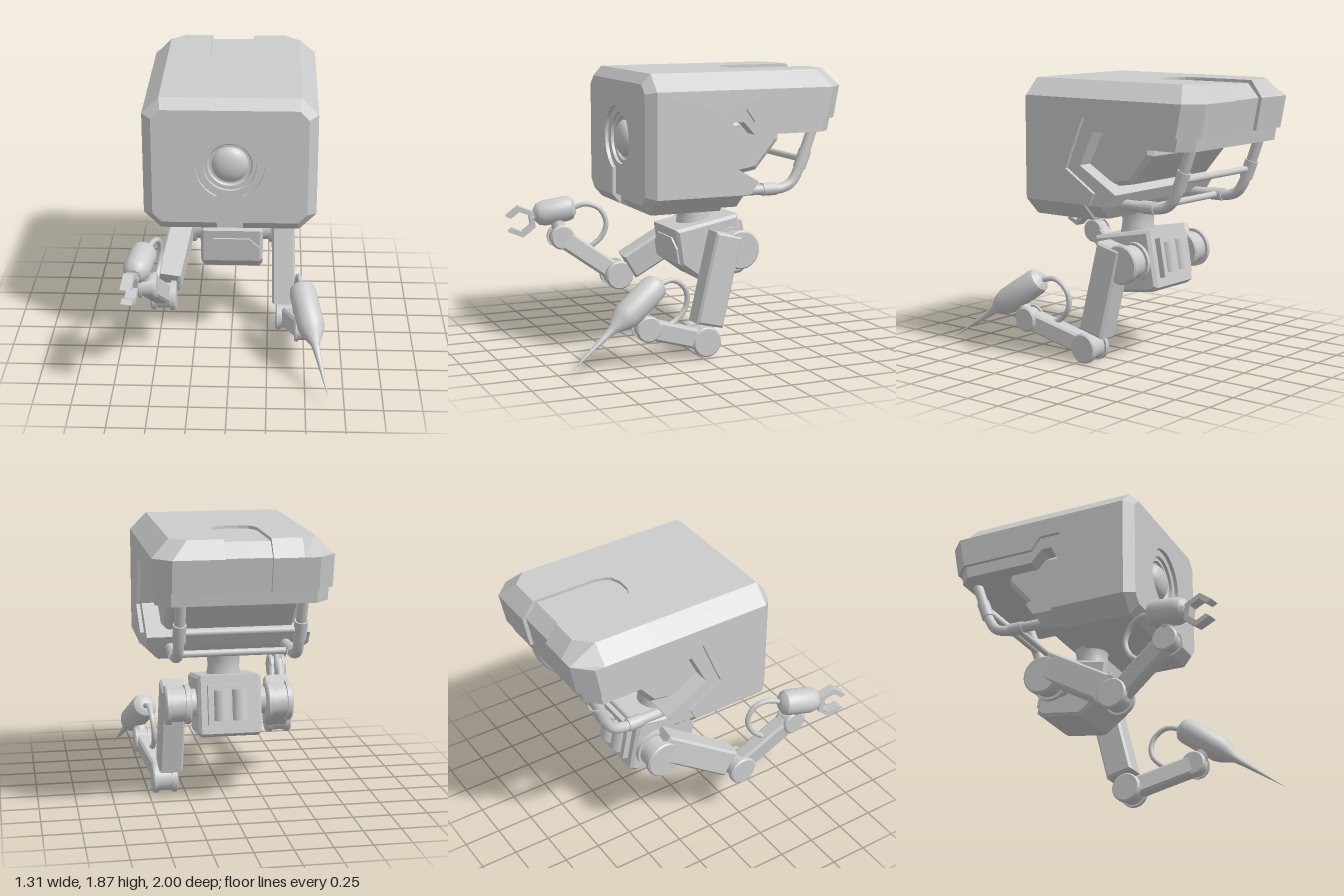
import * as THREE from 'three';
import { toCreasedNormals } from 'three/addons/utils/BufferGeometryUtils.js';

const V = (x, y, z) => new THREE.Vector3(x, y, z);
const UP = V(0, 1, 0);

export function createModel() {
  const root = new THREE.Group();
  const mat = new THREE.MeshStandardMaterial({ color: 0xcccccc });
  const flat = new THREE.MeshStandardMaterial({ color: 0xcccccc, flatShading: true });

  const add = (name, geo, pos = V(0, 0, 0), m = mat, parent = root) => {
    const mesh = new THREE.Mesh(geo, m);
    mesh.name = name;
    mesh.position.copy(pos);
    parent.add(mesh);
    return mesh;
  };
  const shapeOf = pts => new THREE.Shape(pts.map(p => new THREE.Vector2(...p)));

  // A [z, y] profile extruded along x, centred, with a small chamfer
  const sideExtrude = (pts, width, b) => {
    const depth = width - 2 * b;
    return new THREE.ExtrudeGeometry(shapeOf(pts), {
      depth, bevelEnabled: b > 0, bevelThickness: b, bevelSize: b, bevelOffset: -b, bevelSegments: 1,
    }).translate(0, 0, -depth / 2).rotateY(-Math.PI / 2);
  };
  const lathe = pts => toCreasedNormals(
    new THREE.LatheGeometry(pts.map(p => new THREE.Vector2(...p)), 32), 0.6);
  const rod = (name, a, b, r) => {
    const m = add(name, new THREE.CylinderGeometry(r, r, a.distanceTo(b), 16), a.clone().lerp(b, 0.5));
    m.quaternion.setFromUnitVectors(UP, b.clone().sub(a).normalize());
  };
  const tube = (name, pts, r) =>
    add(name, new THREE.TubeGeometry(new THREE.CatmullRomCurve3(pts), 32, r, 12));

  // Head shell: [z, y] profile swept across x, its corners clamped to an octagon.
  // Points 1-5 of the profile carry the slot in the top and back.
  const shell = (profile, xs, low, slotted) => {
    const rings = xs.map(([x, inSlot]) => {
      const ax = Math.abs(x), e = Math.max(0, ax - 0.45);
      const u = Math.min(1, Math.max(0, (Math.abs(x + 0.015) - 0.045) / 0.1));
      return profile.map(([z, y], k) => {
        if (slotted && (k === 1 || k === 2)) z = -0.36 - 0.12 * (1 - Math.sqrt(1 - u * u));
        if (k === 3) z += Math.min(0.1, Math.max(0, ax - 0.35));
        if (k === 4 || k === 5) z += e;
        y = Math.min(1.87 - e, Math.max(low + e, y));
        if (inSlot && k >= 2 && k <= 3) y -= 0.02;
        if (inSlot && k >= 3 && k <= 5) z += 0.025;
        return V(x, y, z);
      });
    });
    const tri = [], n = profile.length;
    for (let i = 0; i < rings.length - 1; i++) {
      for (let j = 0; j < n; j++) {
        const a = rings[i], b = rings[i + 1], k = (j + 1) % n;
        tri.push(a[j], b[j], b[k], a[j], b[k], a[k]);
      }
    }
    [rings[0], rings[rings.length - 1]].forEach((r, end) => {
      const faces = THREE.ShapeUtils.triangulateShape(r.map(p => new THREE.Vector2(p.z, p.y)), []);
      for (const [a, b, c] of faces) tri.push(r[a], r[end ? c : b], r[end ? b : c]);
    });
    const g = new THREE.BufferGeometry().setFromPoints(tri);
    g.computeVertexNormals();
    return g;
  };

  add('headShell', shell(
    [[0.35, 1.87], [-0.36, 1.87], [-0.36, 1.87], [-0.92, 1.87], [-1, 1.76], [-0.96, 1.55], [-0.33, 1.55],
      [-0.27, 1.635], [-0.12, 1.635], [0.02, 1.305], [-0.21, 1.16], [-0.17, 1.08], [-0.13, 0.97], [0.35, 0.97]],
    [[-0.56], [-0.45], [-0.35], [-0.16], [-0.16, 1], [-0.145, 1], [-0.12, 1], [-0.06, 1], [0.03, 1],
      [0.09, 1], [0.115, 1], [0.13, 1], [0.13], [0.35], [0.45], [0.56]], 0.97, true), undefined, flat);
  add('innerShell', shell(
    [[0.3, 1.7], [0, 1.7], [0, 1.7], [-0.9, 1.7], [-0.94, 1.6], [-0.915, 1.465], [-0.34, 1.465],
      [-0.26, 1.55], [-0.19, 1.55], [-0.08, 1.33], [-0.37, 1.16], [-0.32, 1.08], [-0.25, 0.99], [0.3, 0.99]],
    [[-0.535], [-0.45], [-0.35], [0.35], [0.45], [0.535]], 0.99, false), undefined, flat);
  add('headCore', sideExtrude(
    [[0.1, 1.55], [-0.57, 1.55], [-0.57, 1.41], [-0.41, 1.22], [-0.29, 1.2], [0.1, 1.2]], 0.86, 0.03), undefined, flat);

  // Front plate with a keyhole cut; its back edge flares out to meet the shell
  const face = shapeOf([[0.085, -0.385], [0.44, -0.385], [0.5, -0.325], [0.5, 0.325], [0.44, 0.385],
    [-0.44, 0.385], [-0.5, 0.325], [-0.5, -0.325], [-0.44, -0.385], [-0.085, -0.385], [-0.085, -0.203]]);
  face.absarc(0, 0, 0.22, -1.967, -1.174, true);
  const plate = new THREE.ExtrudeGeometry(face, { depth: 0.06, bevelEnabled: false, curveSegments: 40 });
  const pp = plate.attributes.position;
  for (let i = 0; i < pp.count; i++) {
    const x = pp.getX(i), y = pp.getY(i);
    if (pp.getZ(i) > 0.03) continue;
    if (Math.abs(x) > 0.47) pp.setXY(i, Math.sign(x) * 0.56, Math.sign(y) * 0.34);
    else if (Math.abs(y) > 0.38) pp.setXY(i, Math.abs(x) > 0.4 ? Math.sign(x) * 0.45 : x, Math.sign(y) * 0.45);
  }
  plate.computeVertexNormals();
  add('facePlate', plate, V(0, 1.42, 0.35), flat);

  // Stepped eye socket, lens and the channel below it
  add('eyeSocket', lathe([[0, 0], [0.135, 0], [0.145, 0.015], [0.17, 0.015], [0.172, 0.035], [0.22, 0.035]])
    .rotateX(Math.PI / 2), V(0, 1.42, 0.351)).material = new THREE.MeshStandardMaterial({ color: 0xcccccc, side: THREE.DoubleSide });
  add('eyeLens', new THREE.SphereGeometry(0.12, 32, 20).scale(1, 1, 0.52), V(0, 1.42, 0.347));
  add('eyeChannel', new THREE.BoxGeometry(0.17, 0.2, 0.05), V(0, 1.14, 0.36), flat);

  // Rear handle frame
  for (const s of [-1, 1]) {
    const x = 0.38 * s;
    tube('handleTube', [V(x, 1.08, -0.3), V(x, 1.08, -0.45), V(x, 1.08, -0.6), V(x, 1.11, -0.68),
      V(x, 1.18, -0.73), V(x, 1.32, -0.785), V(x, 1.5, -0.85)], 0.035);
    rod('handleSleeve', V(x, 1.08, -0.47), V(x, 1.08, -0.57), 0.043);
    rod('handleSleeve', V(x, 1.21, -0.745), V(x, 1.33, -0.79), 0.043);
  }
  rod('handleBar', V(-0.38, 1.08, -0.52), V(0.38, 1.08, -0.52), 0.022);
  rod('handleBar', V(-0.38, 1.27, -0.765), V(0.38, 1.27, -0.765), 0.022);

  // Neck and torso
  add('neck', lathe([[0.118, 0.82], [0.105, 0.9], [0.11, 0.97], [0.14, 1.06]]), V(0, 0, -0.14));
  add('torso', sideExtrude([[0.07, 0.81], [-0.38, 0.895], [-0.45, 0.52], [-0.41, 0.49], [-0.13, 0.45], [0.035, 0.57]],
    0.42, 0.02), undefined, flat);
  add('chestPanel', new THREE.ExtrudeGeometry(
    shapeOf([[-0.19, 0], [0.19, 0], [0.19, 0.1], [0.12, 0.17], [-0.12, 0.17], [-0.19, 0.1]]),
    { depth: 0.02, bevelEnabled: false }), V(0, 0.585, 0.03), flat).rotation.x = 0.14;
  const pack = new THREE.Group();
  pack.name = 'backPack';
  pack.position.set(0, 0.71, -0.43);
  pack.rotation.x = 0.18;
  root.add(pack);
  add('packFrame', new THREE.BoxGeometry(0.3, 0.26, 0.05), V(0, 0, 0), flat, pack);
  for (const s of [-1, 1]) add('packCell', new THREE.CylinderGeometry(0.055, 0.055, 0.2, 20), V(0.06 * s, 0, -0.01), mat, pack);

  // Arm pieces
  const joint = (name, c, r, w) => {
    const h = w / 2, q = w * 0.28;
    const g = lathe([[0, -h], [r - 0.01, -h], [r, -h + 0.01], [r, -q], [r * 0.86, -q], [r * 0.86, q],
      [r, q], [r, h - 0.01], [r - 0.01, h], [0, h]]).rotateZ(Math.PI / 2);
    return add(name, g, c);
  };
  const beam = (name, a, b, w, d) => {
    const y = b.clone().sub(a), len = y.length();
    y.normalize();
    const z = V(1, 0, 0).cross(y).normalize(), x = y.clone().cross(z);
    const g = sideExtrude([[-d / 2, -len / 2], [d / 2, -len / 2], [d / 2, len / 2], [-d / 2, len / 2]].reverse(), w, 0.015);
    const m = add(name, g, a.clone().lerp(b, 0.5), flat);
    m.quaternion.setFromRotationMatrix(new THREE.Matrix4().makeBasis(x, y, z));
  };
  const arm = (s, top, low, elbow, wrist) => {
    rod('shoulderAxle', V(0.18 * s, 0.69, -0.26), V(0.32 * s, 0.69, -0.28), 0.09);
    joint('shoulder', V(0.335 * s, 0.69, -0.31), 0.13, 0.17);
    beam('upperArm', top, low, 0.16, 0.19);
    joint('elbow', elbow, 0.1, 0.17);
    beam('forearm', elbow, wrist, 0.11, 0.13);
    joint('wrist', wrist, 0.085, 0.12);
  };
  const tool = (name, a, b, pts) =>
    add(name, lathe(pts), a).quaternion.setFromUnitVectors(UP, b.clone().sub(a).normalize());

  // Left arm with a spike
  arm(1, V(0.35, 0.8, -0.22), V(0.36, 0.2, -0.075), V(0.39, 0.105, -0.04), V(0.49, 0.25, 0.4));
  tool('spikeTool', V(0.47, 0.54, 0.3), V(0.65, 0.06, 0.97),
    [[0, 0], [0.05, 0.005], [0.08, 0.03], [0.09, 0.07], [0.09, 0.32], [0.075, 0.37], [0.03, 0.45], [0.022, 0.52], [0, 0.84]]);
  rod('toolMount', V(0.49, 0.25, 0.4), V(0.515, 0.4, 0.49), 0.045);
  tube('spikeHose', [V(0.48, 0.52, 0.32), V(0.46, 0.54, 0.2), V(0.45, 0.47, 0.11), V(0.44, 0.36, 0.1),
    V(0.44, 0.27, 0.17), V(0.46, 0.22, 0.28)], 0.018);

  // Right arm with a gripper
  arm(-1, V(-0.33, 0.77, -0.3), V(-0.42, 0.473, 0.18), V(-0.45, 0.41, 0.25), V(-0.52, 0.69, 0.635));
  tool('gripperBody', V(-0.54, 0.89, 0.52), V(-0.59, 0.84, 0.8),
    [[0, 0], [0.05, 0.005], [0.08, 0.03], [0.088, 0.06], [0.088, 0.22], [0.075, 0.265], [0.045, 0.29], [0, 0.292]]);
  rod('toolMount', V(-0.52, 0.69, 0.635), V(-0.56, 0.86, 0.66), 0.045);
  tube('gripperHose', [V(-0.53, 0.88, 0.55), V(-0.5, 0.91, 0.46), V(-0.47, 0.88, 0.37), V(-0.46, 0.78, 0.32),
    V(-0.47, 0.68, 0.35), V(-0.49, 0.6, 0.44)], 0.018);
  const hexArc = r => [30, 90, 150, 210, 270, 330].map(d => d * Math.PI / 180).map(t => [r * Math.cos(t), r * Math.sin(t)]);
  const claw = add('gripperClaw', sideExtrude([...hexArc(0.11), ...hexArc(0.072).reverse()], 0.07, 0), V(-0.61, 0.8, 0.895), flat);
  claw.rotation.set(0.15, -0.17, 0);
  rod('gripperStem', V(-0.585, 0.845, 0.77), V(-0.595, 0.82, 0.83), 0.035);

  return root;
}
